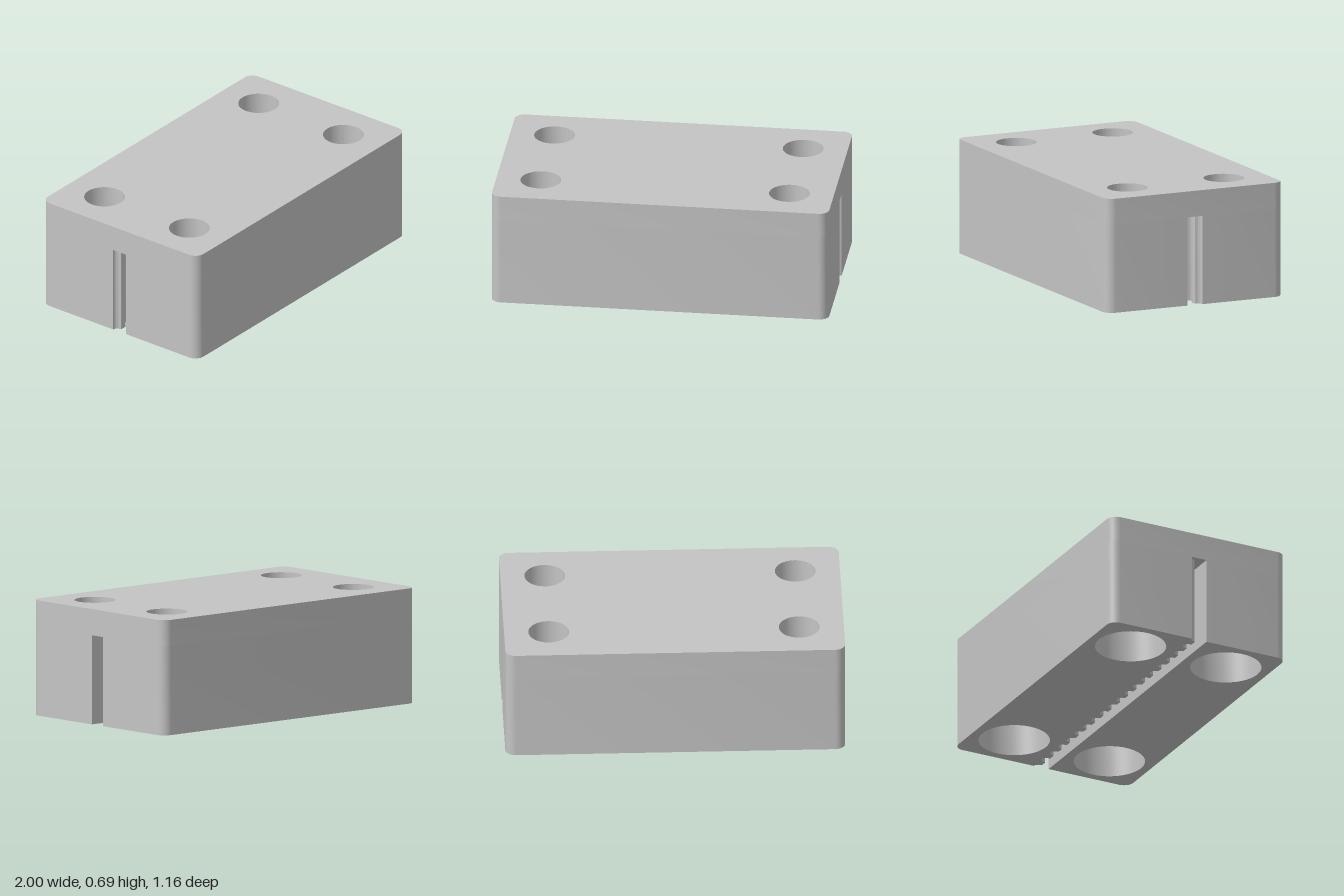
import * as THREE from 'three';
import { mergeGeometries, toCreasedNormals } from 'three/addons/utils/BufferGeometryUtils.js';

const HEIGHT = 0.685, HALF_Z = 0.58, CORNER = 0.06;
const SLOT_TOP = 0.53, SLOT_FRONT = 0.05, TOOTH_TIP = -0.01;
const HOLE_X = 0.737, HOLE_Z = 0.316, HOLE_R = 0.12;
const BORE_R = 0.21, BORE_TOP = 0.2;
const TEETH = 19;

// All outlines are lists of (x, z) points, counterclockwise with z taken as up
const v = (x, z) => new THREE.Vector2(x, z);

function arc(cx, cz, r, from, to, n) {
  return Array.from({ length: n + 1 }, (_, i) => {
    const a = from + (to - from) * i / n;
    return v(cx + r * Math.cos(a), cz + r * Math.sin(a));
  });
}

const corner = (sx, sz, from) =>
  arc(sx * (1 - CORNER), sz * (HALF_Z - CORNER), CORNER, from, from + Math.PI / 2, 10);

const circle = (x, z, r) => arc(x, z, r, 0, Math.PI * 2, 64).slice(0, -1);

// Vertical wall around an outline, facing outward
function wall(points, y0, y1) {
  const pos = [];
  points.forEach((a, i) => {
    const b = points[(i + 1) % points.length];
    pos.push(a.x, y0, a.y, a.x, y1, a.y, b.x, y1, b.y);
    pos.push(a.x, y0, a.y, b.x, y1, b.y, b.x, y0, b.y);
  });
  const g = new THREE.BufferGeometry();
  g.setAttribute('position', new THREE.Float32BufferAttribute(pos, 3));
  return g;
}

// Horizontal face, downward by default (upward mirrors z)
function cap(points, holes, y, up = false) {
  const shape = new THREE.Shape(points);
  shape.holes = holes.map(h => new THREE.Path(h));
  const g = new THREE.ShapeGeometry(shape).toNonIndexed();
  g.rotateX(up ? -Math.PI / 2 : Math.PI / 2).translate(0, y, 0);
  g.deleteAttribute('uv');
  g.deleteAttribute('normal');
  return g;
}

// Belt tooth profile along the back wall of the slot, from +x to -x
function toothProfile() {
  const points = [];
  for (let i = 0; i <= TEETH; i++) {
    const c = 1 - 2 * i / TEETH;
    points.push(v(c + 0.036, TOOTH_TIP), v(c + 0.031, -0.012));
    points.push(...arc(c, -0.018, 0.029, 0, -Math.PI, 12));
    points.push(v(c - 0.031, -0.012), v(c - 0.036, TOOTH_TIP));
  }
  return points.filter(p => Math.abs(p.x) < 1 + 1e-6);
}

export function createModel() {
  const group = new THREE.Group();
  const material = new THREE.MeshStandardMaterial({ color: 0xc4c4c4 });
  material.name = 'light grey plastic';

  const add = (name, parts) => {
    const mesh = new THREE.Mesh(toCreasedNormals(mergeGeometries(parts), 0.6), material);
    mesh.name = name;
    group.add(mesh);
  };

  const teeth = toothProfile();
  const P = Math.PI;
  const frontCorners = [...corner(1, 1, 0), ...corner(-1, 1, P / 2)];
  const backCorners = [...corner(-1, -1, P), ...corner(1, -1, P * 1.5)];
  const full = [...frontCorners, ...backCorners];
  const frontJaw = [v(-1, SLOT_FRONT), v(1, SLOT_FRONT), ...frontCorners];
  const backJaw = [...backCorners, ...teeth];
  const slot = [...teeth.slice().reverse(), v(1, SLOT_FRONT), v(-1, SLOT_FRONT)];

  const centres = [];
  for (const x of [-HOLE_X, HOLE_X]) for (const z of [-HOLE_Z, HOLE_Z]) centres.push([x, z]);
  const bores = side => centres.filter(c => c[1] * side > 0).map(([x, z]) => circle(x, z, BORE_R));

  // Jaws on both sides of the slot; the back one carries the teeth
  add('frontJaw', [wall(frontJaw, 0, SLOT_TOP), cap(frontJaw, bores(1), 0)]);
  add('toothedBackJaw', [wall(backJaw, 0, SLOT_TOP), cap(backJaw, bores(-1), 0)]);

  // Solid bridge over the slot
  add('topBridge', [
    wall(full, SLOT_TOP, HEIGHT),
    cap(full, centres.map(([x, z]) => circle(x, z, HOLE_R)), HEIGHT, true),
    cap(slot, [], SLOT_TOP),
  ]);

  // Bolt holes, widened from below
  for (const [x, z] of centres) {
    const narrow = circle(x, z, HOLE_R), wide = circle(x, z, BORE_R);
    add('boltHole', [
      wall(wide.slice().reverse(), 0, BORE_TOP),
      cap(wide, [narrow], BORE_TOP),
      wall(narrow.slice().reverse(), BORE_TOP, HEIGHT),
    ]);
  }
  return group;
}
